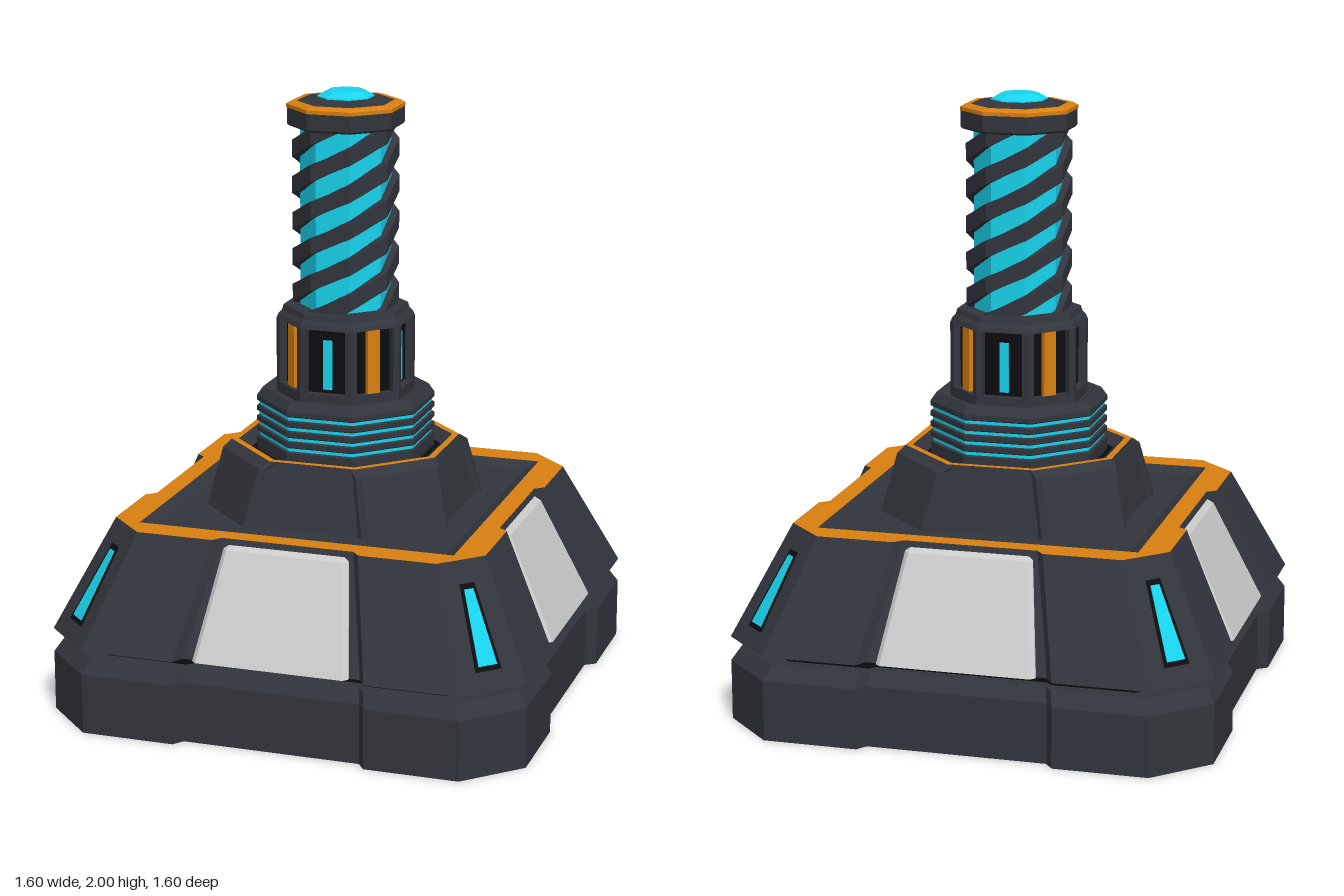
import * as THREE from 'three';

const mat = (color) => new THREE.MeshStandardMaterial({ color, flatShading: true });
const DARK = mat(0x32353c), BLACK = mat(0x0d0d10), CYAN = mat(0x18d4ee), ORANGE = mat(0xd98010), GREY = mat(0xcccccc);

// Skin a list of closed loops (arrays of [x, y, z]); ends are closed on request.
function skin(loops, capStart = true, capEnd = true) {
  const pos = [];
  const tri = (a, b, c) => pos.push(...a, ...b, ...c);
  for (let k = 0; k + 1 < loops.length; k++) {
    const a = loops[k], b = loops[k + 1], n = a.length;
    for (let i = 0; i < n; i++) {
      const j = (i + 1) % n;
      tri(a[i], a[j], b[j]);
      tri(a[i], b[j], b[i]);
    }
  }
  const cap = (loop, flip) => {
    const mid = [0, 1, 2].map((c) => loop.reduce((s, p) => s + p[c], 0) / loop.length);
    loop.forEach((p, i) => {
      const q = loop[(i + 1) % loop.length];
      if (flip) tri(mid, q, p); else tri(mid, p, q);
    });
  };
  if (capStart) cap(loops[0], true);
  if (capEnd) cap(loops[loops.length - 1], false);
  const g = new THREE.BufferGeometry();
  g.setAttribute('position', new THREE.Float32BufferAttribute(pos, 3));
  g.computeVertexNormals();
  return g;
}

// Repeat one side's [x, z] points around the axis n times at height y.
function around(y, n, side) {
  const loop = [];
  for (let k = 0; k < n; k++) {
    const a = (k * 2 * Math.PI) / n, c = Math.cos(a), s = Math.sin(a);
    for (const [x, z] of side) loop.push([x * c + z * s, y, -x * s + z * c]);
  }
  return loop;
}

// Chamfered square with a notch in the middle of each side.
const notched = (y, h, c, n1, n2, d) =>
  around(y, 4, [[-c, h], [-n1, h], [-n2, h - d], [n2, h - d], [n1, h], [c, h]]);
// Regular octagon with apothem a.
const oct = (y, a) => around(y, 8, [[-a * 0.4142, a]]);
// Octagon with a slot in every face.
const slotted = (y, a, w, d) => around(y, 8, [[-a * 0.4142, a], [-w, a], [-w, a - d], [w, a - d], [w, a]]);

export function createModel() {
  const root = new THREE.Group();
  const add = (name, geometry, material, parent = root) => {
    const m = new THREE.Mesh(geometry, material);
    m.name = name;
    parent.add(m);
    return m;
  };
  const octs = (name, material, profile, c0 = true, c1 = true) =>
    add(name, skin(profile.map(([y, a]) => oct(y, a)), c0, c1), material);

  // Foot, shadow gap and sloped skirt
  add('foot', skin([
    notched(0, 0.8, 0.63, 0.32, 0.295, 0.035),
    notched(0.2, 0.8, 0.63, 0.32, 0.295, 0.035),
    notched(0.245, 0.77, 0.61, 0.31, 0.285, 0.035),
  ]), DARK);
  add('shadowGap', skin([
    notched(0.24, 0.72, 0.57, 0.3, 0.28, 0.02), notched(0.285, 0.72, 0.57, 0.3, 0.28, 0.02),
  ]), BLACK);
  const rim = notched(0.64, 0.625, 0.5, 0.245, 0.22, 0.03);
  add('skirt', skin([notched(0.28, 0.8, 0.63, 0.32, 0.295, 0.04), rim], true, false), DARK);

  // Deck: flat border and sunken square
  const inner = notched(0.64, 0.53, 0.53, 0.245, 0.22, 0);
  add('deckBorder', skin([rim, inner], false, false), ORANGE);
  add('deck', skin([inner, notched(0.62, 0.49, 0.49, 0.245, 0.22, 0)], false, true), DARK);

  // Side panels and corner lights, four of each
  const panelLoop = (y, w, zo, zi) => [
    [-w, y, zo - 0.015], [0.015 - w, y, zo], [w - 0.015, y, zo], [w, y, zo - 0.015], [w, y, zi], [-w, y, zi],
  ];
  const panel = skin([
    panelLoop(0.28, 0.26, 0.785, 0.7), panelLoop(0.61, 0.21, 0.625, 0.56), panelLoop(0.622, 0.205, 0.608, 0.56),
  ]);
  const slit = (y0, y1, w0, w1, out) => skin([[y0, w0], [y1, w1]].map(([y, w]) => {
    const r = 1.011 - 0.6 * (y - 0.28);
    return [[-w, y, r + out], [w, y, r + out], [w, y, r - 0.03], [-w, y, r - 0.03]];
  }));
  const lightFrame = slit(0.335, 0.575, 0.046, 0.026, 0.003);
  const lightBar = slit(0.35, 0.56, 0.033, 0.016, 0.006);
  for (let k = 0; k < 4; k++) {
    const a = (k * Math.PI) / 2;
    add('sidePanel', panel, GREY).rotation.y = a;
    const light = new THREE.Group();
    light.name = 'cornerLight';
    light.rotation.y = a + Math.PI / 4;
    add('lightFrame', lightFrame, BLACK, light);
    add('lightBar', lightBar, CYAN, light);
    root.add(light);
  }

  // Pedestal with inset faces and a trimmed well
  add('pedestal', skin([
    notched(0.61, 0.417, 0.22, 0.19, 0.175, 0.014),
    notched(0.81, 0.372, 0.175, 0.155, 0.14, 0.014),
    notched(0.832, 0.352, 0.146, 0.13, 0.12, 0),
  ], false, false), DARK);
  octs('pedestalTrim', ORANGE, [[0.832, 0.352], [0.832, 0.33]], false, false);
  octs('pedestalWell', DARK, [[0.832, 0.33], [0.8, 0.295]], false, false);
  octs('wellFloor', BLACK, [[0.8, 0.295], [0.79, 0.24]], false, true);

  // Ribbed collar with glowing grooves
  octs('collarGlow', CYAN, [[0.79, 0.266], [0.98, 0.266]]);
  for (let i = 0; i < 5; i++) {
    const y0 = i ? 0.821 + i * 0.035 : 0.78;
    const last = i === 4;
    const y1 = last ? 0.985 : 0.845 + i * 0.035;
    const profile = [[y0, 0.268], [y0 + 0.004, 0.274], [y1 - 0.004, 0.274]];
    octs('collarRib', DARK, profile.concat(last ? [[1.01, 0.255], [1.01, 0.24], [0.995, 0.22]] : [[y1, 0.268]]));
  }

  // Socket with a slot in every face
  octs('socketBase', DARK, [[0.98, 0.212], [1.03, 0.212]]);
  add('socketBody', skin([slotted(1.03, 0.212, 0.066, 0.03), slotted(1.245, 0.212, 0.066, 0.03)]), DARK);
  octs('socketTop', DARK, [[1.245, 0.212], [1.26, 0.206], [1.272, 0.195], [1.29, 0.19]]);
  const backing = new THREE.BoxGeometry(0.132, 0.215, 0.01).translate(0, 1.1375, 0.18);
  const bar = new THREE.BoxGeometry(0.03, 0.165, 0.012).translate(0, 1.125, 0.186);
  const strip = new THREE.BoxGeometry(0.044, 0.215, 0.03).translate(0, 1.1375, 0.187);
  for (let k = 0; k < 8; k++) {
    const a = (k * Math.PI) / 4;
    add('slotBacking', backing, BLACK).rotation.y = a;
    if (k % 2) add('slotStrip', strip, ORANGE).rotation.y = a;
    else add('slotLight', bar, CYAN).rotation.y = a;
  }

  // Glowing rod wrapped by four helical bands that follow its octagon
  octs('rodCore', CYAN, [[1.28, 0.138], [1.9, 0.138]]);
  const pitch = 0.48, bandHeight = 0.056, step = Math.PI / 16;
  const clampY = (y) => Math.min(1.9, Math.max(1.28, y));
  for (let b = 0; b < 4; b++) {
    const loops = [];
    for (let i = -8; i <= 48; i++) {
      const t = i * step;
      const y = 1.3 + (t / (2 * Math.PI)) * pitch;
      if (y < 1.25 || y > 1.93) continue;
      const face = Math.round(t / (Math.PI / 4)) * (Math.PI / 4);
      const k = 1 / Math.cos(t - face), a = t + (b * Math.PI) / 2;
      const point = (r, dy) => [Math.sin(a) * r * k, clampY(y + dy), Math.cos(a) * r * k];
      const h = bandHeight / 2;
      loops.push([point(0.162, h), point(0.162, -h), point(0.13, -h), point(0.13, h)]);
    }
    add('helicalBand', skin(loops), DARK);
  }

  // Cap with trim and a faceted lens
  octs('cap', DARK, [[1.885, 0.17], [1.892, 0.177], [1.945, 0.177]]);
  octs('capTrim', ORANGE, [[1.945, 0.179], [1.957, 0.179], [1.966, 0.164]]);
  octs('capTop', DARK, [[1.962, 0.166], [1.978, 0.09]]);
  octs('lens', CYAN, [[1.97, 0.088], [1.982, 0.086], [2, 0.056]]);

  return root;
}
